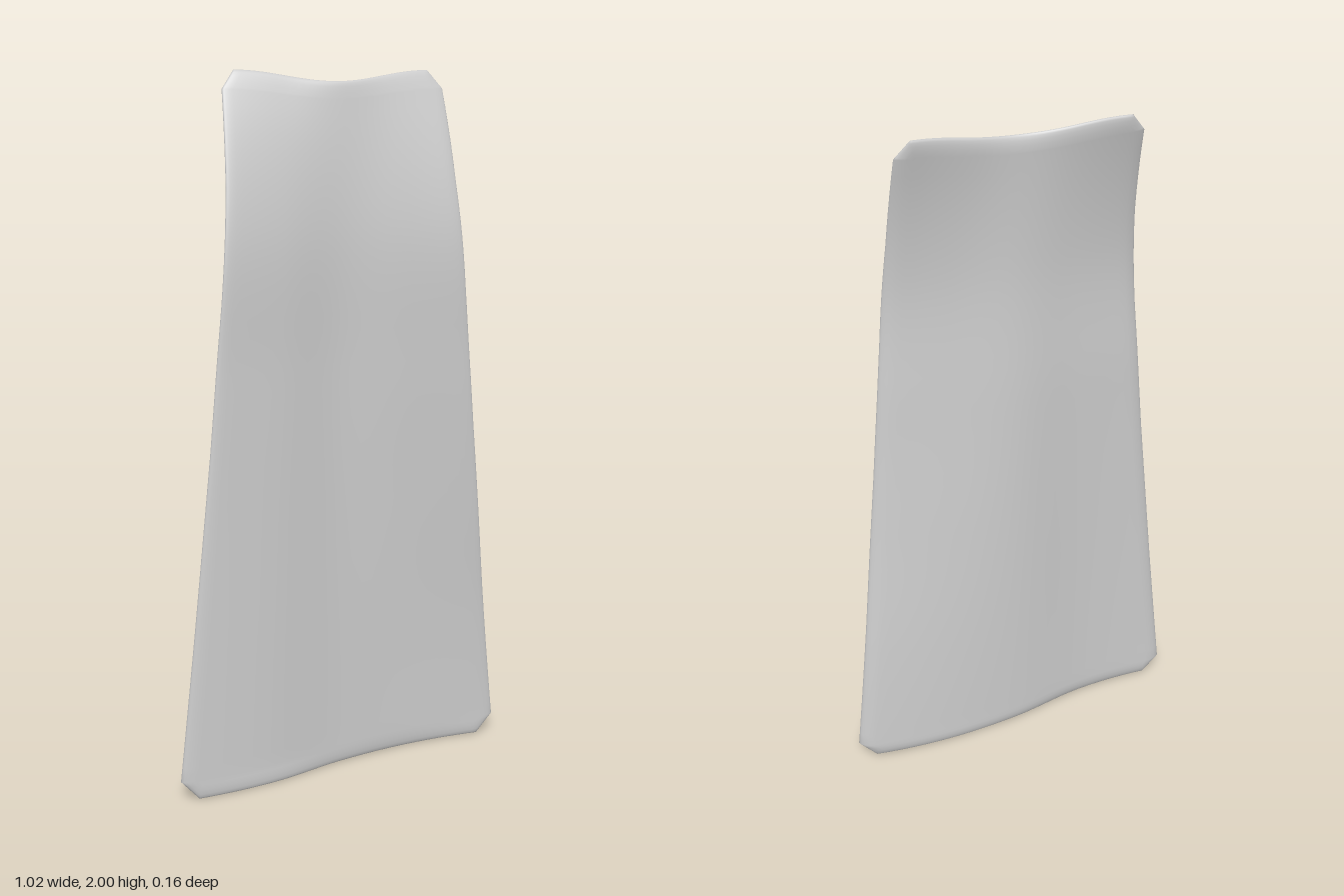
import * as THREE from 'three';
import { mergeVertices } from 'three/addons/utils/BufferGeometryUtils.js';

const RIM = 0.045;        // width of the rounded border
const RIM_FORWARD = 0.004; // the border's tip sits a little towards the front

// Depth of the middle of the sheet: rows from bottom to top, columns from -x edge to +x edge
const DEPTH = [
  [0.067, 0.048, -0.012, -0.044, -0.042],
  [0.065, 0.042, -0.015, -0.036, -0.027],
  [0.06, 0.034, -0.016, -0.018, 0.002],
  [0.052, 0.025, -0.014, 0.001, 0.021],
  [0.037, 0.016, -0.008, 0.006, 0.023],
  [-0.075, -0.06, -0.043, -0.06, -0.075],
];

// Half width of the sheet by height, with the cut corners
const OUTLINE = [[0, 0.46], [0.06, 0.512], [0.5, 0.46], [1, 0.403], [1.4, 0.362], [1.7, 0.335], [1.95, 0.319], [2, 0.28]];

// Smooth curve through evenly spaced values, t in 0..1
function spline(p, t) {
  const n = p.length - 1, f = Math.min(Math.max(t, 0), 1) * n;
  const i = Math.min(Math.floor(f), n - 1), s = f - i, d = p[i + 1] - p[i];
  let m0 = i > 0 ? (p[i + 1] - p[i - 1]) / 2 : null;
  let m1 = i < n - 1 ? (p[i + 2] - p[i]) / 2 : null;
  if (m0 === null) m0 = 2 * d - m1;
  if (m1 === null) m1 = 2 * d - m0;
  return p[i] + s * (m0 + s * (3 * d - 2 * m0 - m1 + s * (m0 + m1 - 2 * d)));
}

function halfWidth(y) {
  let i = 0;
  while (i < OUTLINE.length - 2 && y > OUTLINE[i + 1][0]) i++;
  const [y0, w0] = OUTLINE[i], [y1, w1] = OUTLINE[i + 1];
  return w0 + (w1 - w0) * (y - y0) / (y1 - y0);
}

// Samples along 0..length, packed close together near both ends for the rounded rim
function samples(length, count, extra = []) {
  const near = [0, 0.002, 0.007, 0.016, 0.03, RIM];
  const out = [...near, ...near.map((v) => length - v), ...extra];
  for (let i = 1; i < count; i++) {
    const v = length * i / count;
    if (v > RIM * 1.5 && v < length - RIM * 1.5) out.push(v);
  }
  return out.sort((a, b) => a - b);
}

function sheetGeometry() {
  const rows = samples(2, 40, [0.06, 1.95]);
  const cols = samples(1, 28);
  const positions = [], index = [];
  const nc = cols.length, side = nc * rows.length;

  // Front skin, then back skin; both meet at the rim
  for (const sign of [1, -1]) {
    for (const y of rows) {
      const w = halfWidth(y);
      // The sheet thins towards the top
      const thick = 0.017 - 0.0035 * y;
      for (const u of cols) {
        const x = (2 * u - 1) * w;
        const edge = Math.min(w - Math.abs(x), y, 2 - y);
        const k = 1 - Math.min(edge / RIM, 1);
        const half = thick * Math.sqrt(Math.max(0, 1 - k * k));
        const z = spline(DEPTH.map((r) => spline(r, u)), y / 2) + RIM_FORWARD * k * k;
        // The top edge dips in the middle
        const dip = 0.03 * Math.max(0, (y - 1.5) / 0.5) * Math.cos(Math.PI * (u - 0.5)) ** 2;
        positions.push(x, y - dip, z + sign * half);
      }
    }
  }
  for (let j = 0; j < rows.length - 1; j++) {
    for (let i = 0; i < nc - 1; i++) {
      const a = j * nc + i, b = a + 1, c = b + nc, d = a + nc;
      index.push(a, b, c, a, c, d);
      index.push(side + a, side + c, side + b, side + a, side + d, side + c);
    }
  }
  let geo = new THREE.BufferGeometry();
  geo.setAttribute('position', new THREE.Float32BufferAttribute(positions, 3));
  geo.setIndex(index);
  geo = mergeVertices(geo, 1e-5);
  geo.computeVertexNormals();
  return geo;
}

export function createModel() {
  const group = new THREE.Group();
  group.name = 'curvedPanel';
  const panel = new THREE.Mesh(sheetGeometry(), new THREE.MeshStandardMaterial({ color: 0xcccccc }));
  panel.name = 'panel';
  group.add(panel);
  return group;
}
